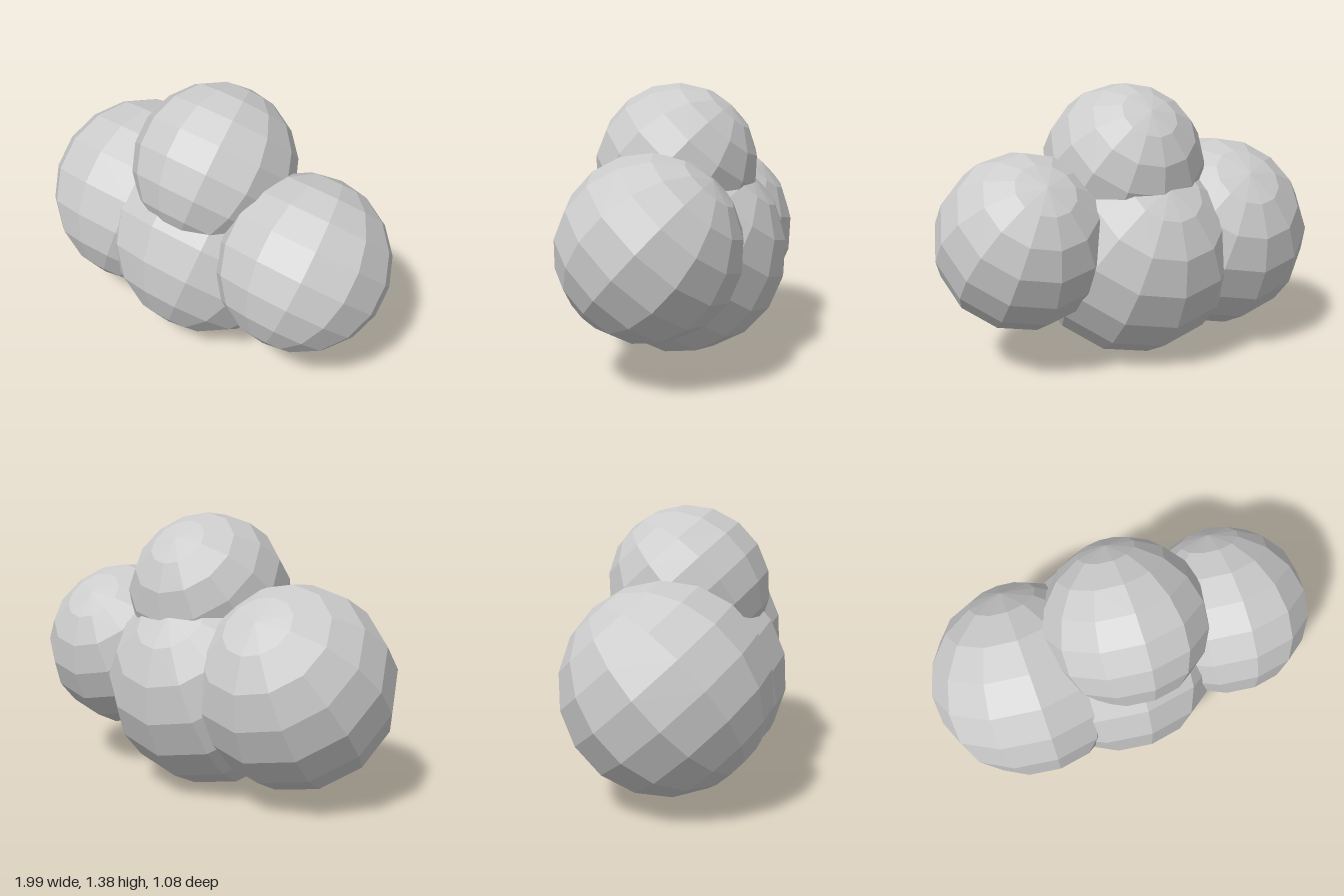
import * as THREE from 'three';

export function createModel() {
  const group = new THREE.Group();
  const material = new THREE.MeshStandardMaterial({ color: 0xcccccc, flatShading: true });

  // Faceted ball, pole tipped up and back, turned slightly to its left
  const ball = new THREE.SphereGeometry(1, 12, 9);

  // name, centre, radius
  const lobes = [
    ['rightLobe', [-0.5, 0.57, 0.045], 0.5],
    ['middleLobe', [-0.02, 0.53, -0.02], 0.53],
    ['topLobe', [0.02, 0.97, 0], 0.41],
    ['leftLobe', [0.565, 0.645, -0.075], 0.435],
  ];

  for (const [name, centre, radius] of lobes) {
    const lobe = new THREE.Mesh(ball, material);
    lobe.name = name;
    lobe.position.set(...centre);
    lobe.rotation.set(THREE.MathUtils.degToRad(-42.5), THREE.MathUtils.degToRad(8), 0, 'YXZ');
    lobe.scale.setScalar(radius);
    group.add(lobe);
  }

  group.name = 'ballCluster';
  return group;
}
